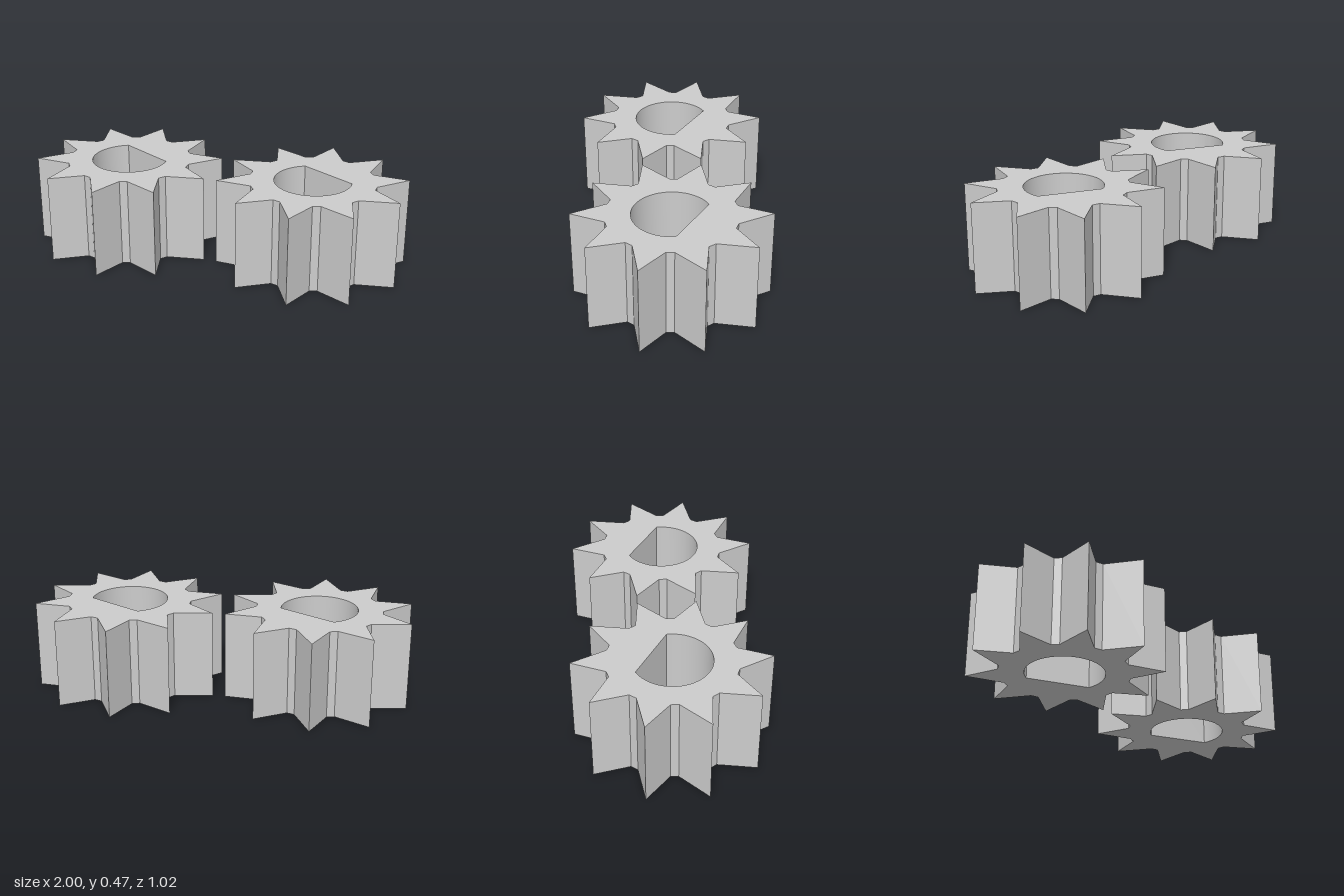
import * as THREE from 'three';
import { toCreasedNormals } from 'three/addons/utils/BufferGeometryUtils.js';

const TEETH = 10, TIP = 0.508, ROOT = 0.337, BORE = 0.205, HEIGHT = 0.475;
const rad = THREE.MathUtils.degToRad;

// Point at a radius and an angle from +x towards +z, in the shape's plane
const polar = (r, deg) => new THREE.Vector2(r * Math.cos(rad(deg)), -r * Math.sin(rad(deg)));

function gearGeometry() {
  // Pointed teeth with short flat roots, roots turned slightly off centre
  const outline = [];
  const step = 360 / TEETH;
  for (let i = 0; i < TEETH; i++) {
    const root = i * step + 1.5;
    outline.push(polar(ROOT, root - 3.55), polar(ROOT, root + 3.55), polar(TIP, (i + 0.5) * step));
  }
  const shape = new THREE.Shape(outline);

  // D-shaped bore: an arc closed by a flat, wound against the outline so its walls face inward
  const bore = [];
  const segments = 48;
  for (let i = 0; i <= segments; i++) bore.push(polar(BORE, 245 - (250 * i) / segments));
  shape.holes.push(new THREE.Path(bore));

  const geometry = new THREE.ExtrudeGeometry(shape, { depth: HEIGHT, bevelEnabled: false });
  geometry.rotateX(-Math.PI / 2);
  return toCreasedNormals(geometry, 0.3);
}

export function createModel() {
  const model = new THREE.Group();
  model.name = 'gearPair';
  const grey = new THREE.MeshStandardMaterial({ color: 0xcccccc });
  grey.name = 'grey metal';

  // Two identical gears side by side
  const geometry = gearGeometry();
  for (const [name, x] of [['rightGear', -0.517], ['leftGear', 0.517]]) {
    const gear = new THREE.Mesh(geometry, grey);
    gear.name = name;
    gear.position.x = x;
    model.add(gear);
  }
  return model;
}
